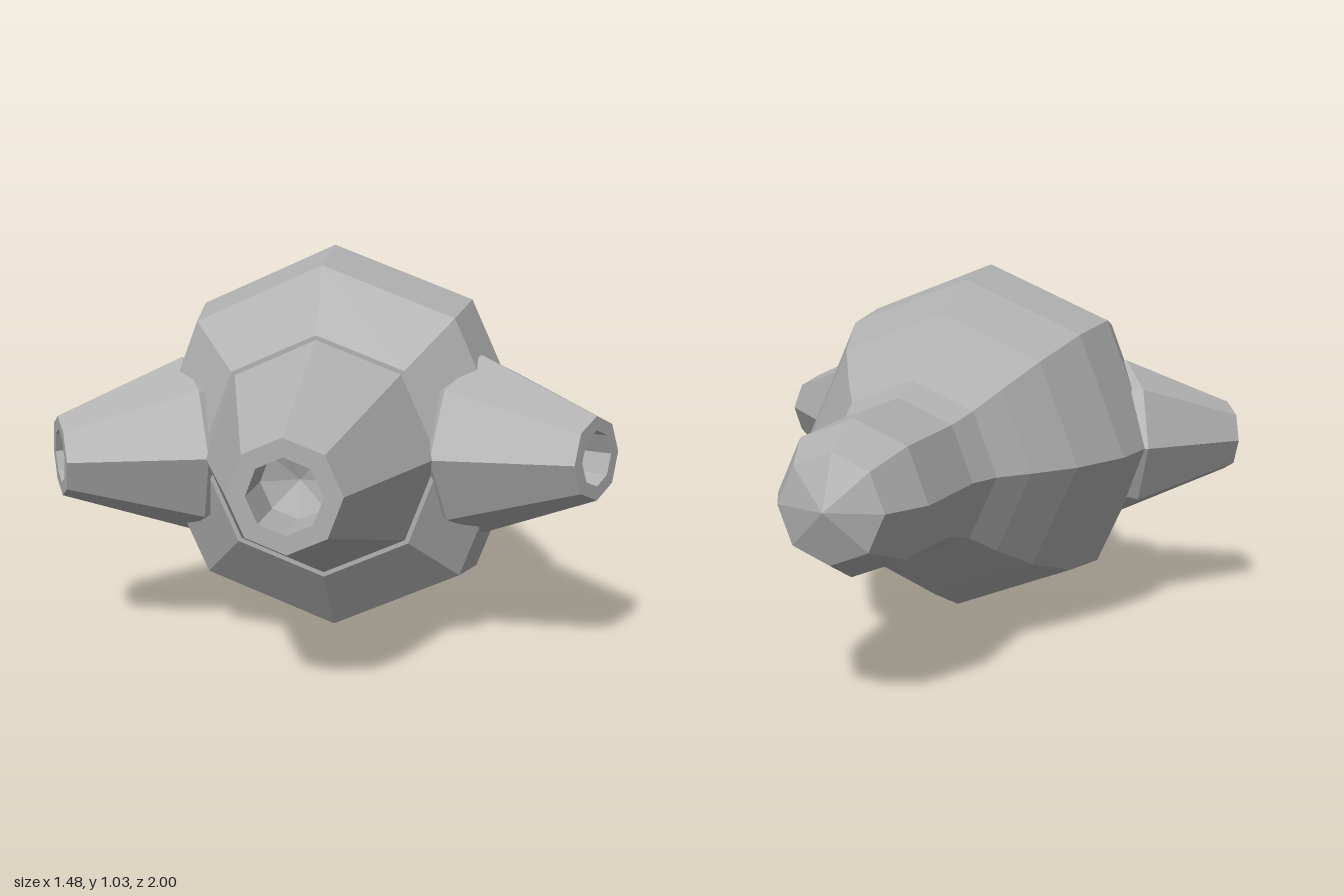
import * as THREE from 'three';

const grey = new THREE.MeshStandardMaterial({ color: 0xb0b0b0 });
grey.name = 'grey';

// Faceted eight-sided solid turned around the z axis from [radius, z] points
function facetedTurn(name, profile) {
  const points = profile.map(([r, z]) => new THREE.Vector2(r, z));
  const geometry = new THREE.LatheGeometry(points, 8).rotateX(Math.PI / 2).toNonIndexed();
  geometry.computeVertexNormals();
  const mesh = new THREE.Mesh(geometry, grey);
  mesh.name = name;
  return mesh;
}

// Tapered nozzle with a blind hole; its mouth is at z = 0
const NOZZLE = [
  [0.25, -0.58], [0.3, -0.43], [0.135, 0], [0.09, 0], [0.09, -0.15], [0, -0.18],
];

export function createModel() {
  const model = new THREE.Group();
  model.name = 'model';

  // Everything leans slightly off the world axes
  const assembly = new THREE.Group();
  assembly.name = 'assembly';
  assembly.position.set(-0.011, 0.517, 0);
  assembly.rotation.set(-0.008, 0.0185, 0.03);
  model.add(assembly);

  // Bulbous body narrowing to a blunt tail
  assembly.add(facetedTurn('body', [
    [0, -1], [0.133, -0.952], [0.192, -0.82], [0.204, -0.52], [0.237, -0.42],
    [0.305, -0.33], [0.396, -0.19], [0.479, 0.02], [0.514, 0.26], [0.474, 0.455],
    [0.31, 0.575], [0, 0.575],
  ]));

  // Front nozzle
  const frontNozzle = facetedTurn('frontNozzle', NOZZLE);
  frontNozzle.position.z = 1;
  assembly.add(frontNozzle);

  // Smaller nozzles angled out to each side
  for (const side of [1, -1]) {
    const nozzle = facetedTurn(side > 0 ? 'leftNozzle' : 'rightNozzle', NOZZLE);
    nozzle.scale.setScalar(0.78);
    nozzle.position.set(side * 0.688, 0, 0.567);
    nozzle.rotation.y = side * Math.PI / 3;
    assembly.add(nozzle);
  }
  return model;
}
